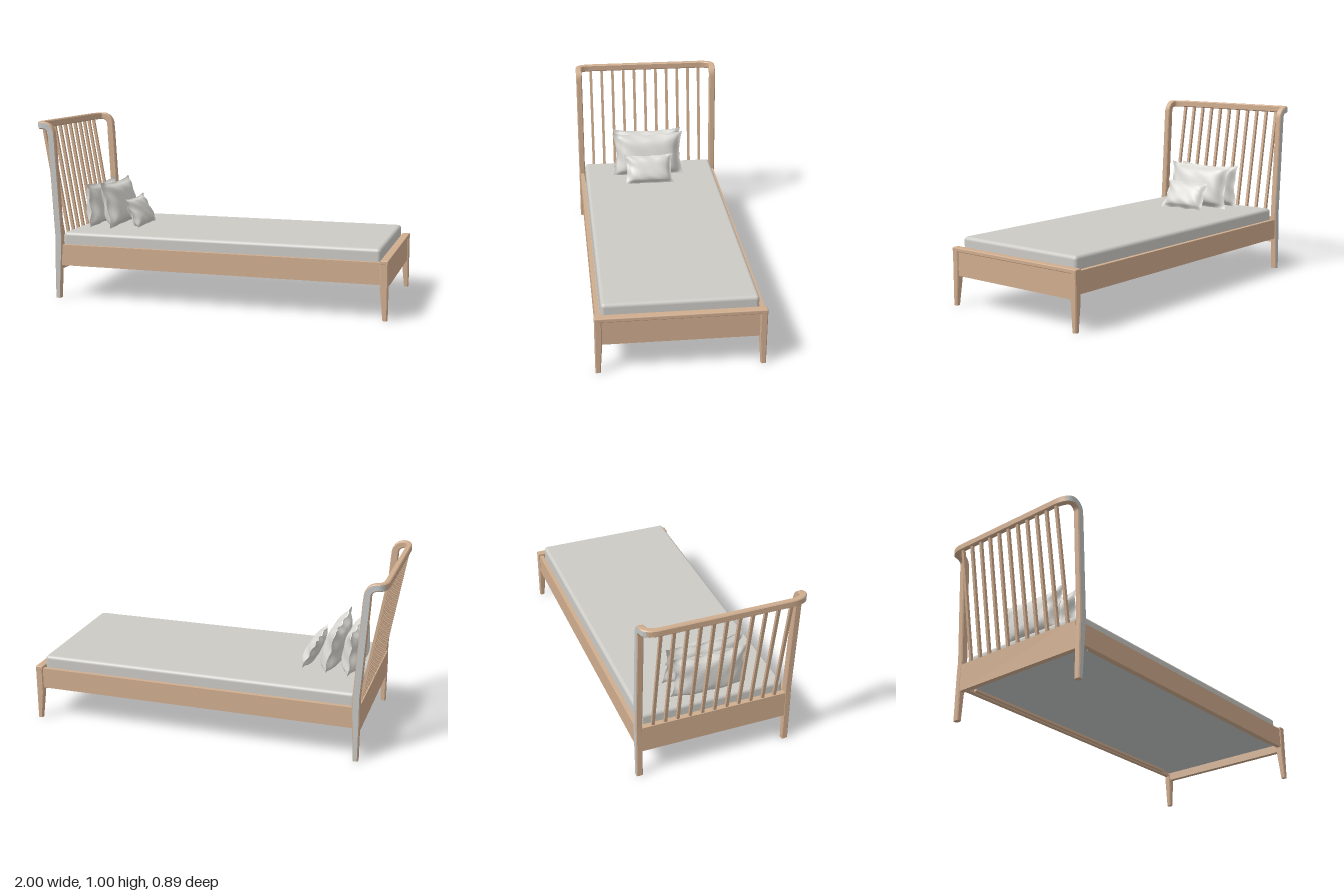
import * as THREE from 'three';
import { mergeGeometries } from 'three/addons/utils/BufferGeometryUtils.js';
import { RoundedBoxGeometry } from 'three/addons/geometries/RoundedBoxGeometry.js';

const V = (x, y, z) => new THREE.Vector3(x, y, z);
const material = (name, color) => {
  const m = new THREE.MeshStandardMaterial({ color });
  m.name = name;
  return m;
};
const wood = material('wood', 0xd0ad8f);
const paint = material('grey side paint', 0xc4c7c6);
const fabric = material('mattress fabric', 0xcbcac5);
const linen = material('pillow linen', 0xdad9d4);

// A ring is a bevelled rectangle at p: half-size w along n1 (outer side), d along n2.
const ring = (p, n1, n2, w, d, grey = false) => ({ p, n1: n1.normalize(), n2: n2.normalize(), w, d, grey });
const flipZ = (v) => V(v.x, v.y, -v.z);
const mirrorRings = (rings) => rings
  .map((r) => ({ ...r, p: flipZ(r.p), n1: flipZ(r.n1), n2: flipZ(r.n2) }))
  .reverse();

// Joins rings into a solid; material 1 covers the outer side where both rings are grey.
function loft(rings, bevel = 0.005) {
  const loops = rings.map(({ p, n1, n2, w, d }) => {
    const a = w - bevel, c = d - bevel;
    return [[w, -c], [w, c], [a, d], [-a, d], [-w, c], [-w, -c], [-a, -d], [a, -d]]
      .map(([s, t]) => p.clone().addScaledVector(n1, s).addScaledVector(n2, t));
  });
  const pos = [], plain = [], grey = [];
  const add = (v) => pos.push(v.x, v.y, v.z) / 3 - 1;
  for (let i = 0; i < 8; i++) {
    const ids = loops.map((l) => [add(l[i]), add(l[(i + 1) % 8])]);
    for (let k = 0; k + 1 < ids.length; k++) {
      const [a, b] = ids[k], [d, c] = ids[k + 1];
      const painted = i === 0 && rings[k].grey && rings[k + 1].grey;
      (painted ? grey : plain).push(a, b, c, a, c, d);
    }
  }
  const first = loops[0].map(add), last = loops[loops.length - 1].map(add);
  for (let i = 1; i < 7; i++) {
    plain.push(first[0], first[i + 1], first[i], last[0], last[i], last[i + 1]);
  }
  const g = new THREE.BufferGeometry();
  g.setAttribute('position', new THREE.Float32BufferAttribute(pos, 3));
  g.setIndex([...plain, ...grey]);
  g.addGroup(0, plain.length, 0);
  g.addGroup(plain.length, grey.length, 1);
  g.computeVertexNormals();
  return g;
}

// Headboard frame: post, bend backwards, bend inwards, then across and mirrored.
function headboardRings() {
  const rings = [];
  const z = 0.425;
  for (const [x, y, d] of [[-0.874, 0, 0.014], [-0.867, 0.26, 0.021], [-0.864, 0.35, 0.021],
    [-0.88, 0.62, 0.021], [-0.895, 0.88, 0.021]]) {
    rings.push(ring(V(x, y, z), V(0, 0, 1), V(1, 0, 0), 0.018, d, true));
  }
  for (let i = 0; i <= 8; i++) {
    const a = (i / 8) * Math.PI / 2;
    rings.push(ring(V(-0.948 + 0.05 * Math.cos(a), 0.93 + 0.05 * Math.sin(a), z),
      V(0, 0, 1), V(Math.cos(a), Math.sin(a), 0), 0.018, 0.02, true));
  }
  for (let i = 1; i <= 10; i++) {
    const a = (i / 10) * Math.PI / 2;
    rings.push(ring(V(-0.948 - 0.037 * Math.sin(a), 0.98, 0.345 + 0.08 * Math.cos(a)),
      V(-Math.sin(a) / 0.037, 0, Math.cos(a) / 0.08), V(0, 1, 0), 0.018 - 0.0003 * i, 0.02, i < 5));
  }
  return [...rings, ...mirrorRings(rings)];
}

// Footboard leg, tapering to the floor on its inner sides.
function footLegRings() {
  return [[0, 0.975, 0.416], [0.165, 0.958, 0.405], [0.3, 0.958, 0.405]].map(([y, x0, z0]) =>
    ring(V((x0 + 1) / 2, y, (z0 + 0.443) / 2), V(0, 0, 1), V(1, 0, 0), (0.443 - z0) / 2, (1 - x0) / 2));
}

// Cushion with pointed corners, a thin border and a full, bottom-heavy middle.
function pillowGeometry(w, h, t, seed) {
  const sheet = (side) => {
    const g = new THREE.PlaneGeometry(2, 2, 32, 24);
    if (side < 0) g.rotateY(Math.PI);
    const p = g.attributes.position;
    for (let i = 0; i < p.count; i++) {
      const u = p.getX(i), v = p.getY(i);
      const iu = Math.max(0, 1 - (u / 0.9) ** 4), iv = Math.max(0, 1 - (v / 0.92) ** 4);
      const puff = Math.sqrt(iu * iv) * (1 - 0.22 * v);
      const crease = 1 + 0.05 * Math.sin(7 * u + 4 * v + seed) * u * u;
      const wave = 0.005 * Math.sin(9 * u + 7 * v + seed) * Math.max(u * u, v * v);
      const pinchV = (v > 0 ? 0.14 : 0.03) * (1 - u * u);
      p.setXYZ(i, w * u * (1 - 0.1 * (1 - v * v)), h * v * (1 - pinchV),
        side * (t * puff * crease + 0.002) + wave);
    }
    g.computeVertexNormals();
    return g;
  };
  return mergeGeometries([sheet(1), sheet(-1)]);
}

export function createModel() {
  const model = new THREE.Group();
  model.name = 'bed';
  const add = (name, geometry, mat) => {
    const mesh = new THREE.Mesh(geometry, mat);
    mesh.name = name;
    model.add(mesh);
    return mesh;
  };
  // Box given by its limits on each axis
  const box = (name, [x0, x1], [y0, y1], [z0, z1], mat = wood) => {
    const mesh = add(name, new THREE.BoxGeometry(x1 - x0, y1 - y0, z1 - z0), mat);
    mesh.position.set((x0 + x1) / 2, (y0 + y1) / 2, (z0 + z1) / 2);
    return mesh;
  };

  // Headboard
  add('headboardFrame', loft(headboardRings()), [wood, paint]);
  box('headboardLowerRail', [-0.886, -0.856], [0.165, 0.32], [-0.41, 0.41]);
  const top = V(-0.984, 0.968, 0), bottom = V(-0.871, 0.31, 0);
  for (let i = -5; i <= 5; i++) {
    const slat = add('headboardSlat', new THREE.BoxGeometry(0.016, top.distanceTo(bottom), 0.016), wood);
    slat.position.copy(top).add(bottom).multiplyScalar(0.5).setZ(i * 0.0693);
    slat.rotation.z = Math.atan2(bottom.x - top.x, top.y - bottom.y);
  }

  // Footboard
  box('footboardPanel', [0.964, 0.992], [0.165, 0.3], [-0.41, 0.41]);
  const cap = add('footboardTopRail', new RoundedBoxGeometry(0.043, 0.023, 0.886, 2, 0.005), wood);
  cap.position.set(0.9785, 0.3085, 0);
  const leg = footLegRings();
  add('footLeg', loft(leg), [wood, wood]);
  add('footLeg', loft(mirrorRings(leg)), [wood, wood]);

  // Side rails and the ledges that carry the base
  for (const s of [1, -1]) {
    const span = (a, b) => (s > 0 ? [a, b] : [-b, -a]);
    box('sideRail', [-0.86, 0.965], [0.19, 0.308], span(0.412, 0.436));
    box('baseLedge', [-0.78, 0.88], [0.197, 0.212], span(0.393, 0.413));
  }

  // Base and mattress
  box('baseBoard', [-0.857, 0.965], [0.211, 0.225], [-0.413, 0.413], paint);
  const mattress = add('mattress', new RoundedBoxGeometry(1.806, 0.155, 0.812, 4, 0.02), fabric);
  mattress.position.set(0.052, 0.2975, 0);

  // Pillows: half width, half height, half thickness, lean, x, y, z
  [[0.215, 0.128, 0.056, 0.06, -0.774, 0.503, 0.008],
    [0.222, 0.134, 0.055, 0.22, -0.664, 0.508, 0.012],
    [0.153, 0.092, 0.034, 0.46, -0.535, 0.458, 0.018]].forEach(([w, h, t, lean, x, y, z], i) => {
    const pillow = add('pillow', pillowGeometry(w, h, t, i * 2), linen);
    pillow.rotation.set(-lean, Math.PI / 2, 0, 'YXZ');
    pillow.position.set(x, y, z);
  });
  return model;
}
